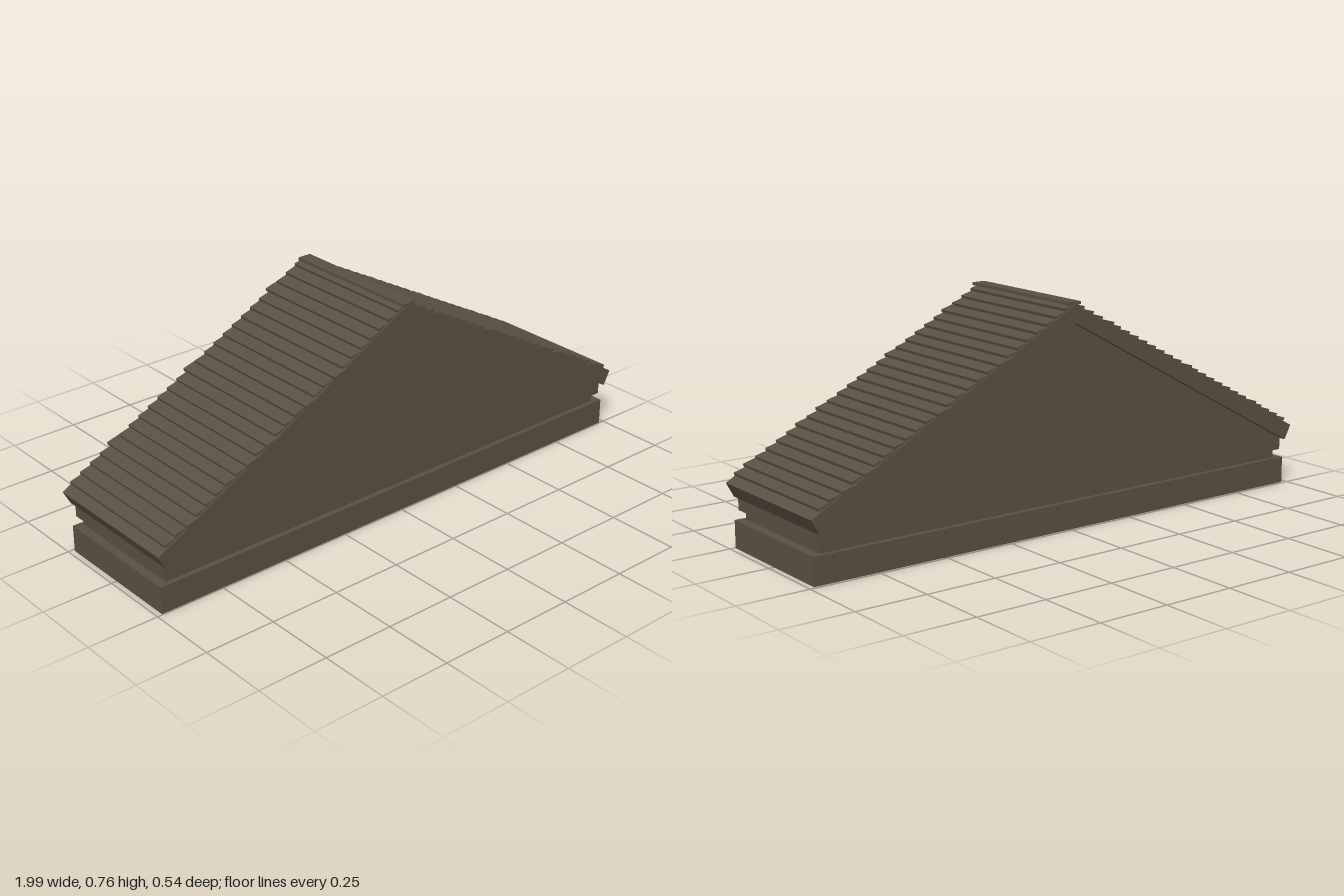
import * as THREE from 'three';

export function createModel() {
  const group = new THREE.Group();
  const stone = new THREE.MeshStandardMaterial({ color: 0x5a5042 });
  stone.name = 'weathered brown';

  const add = (name, geometry, parent = group) => {
    const mesh = new THREE.Mesh(geometry, stone);
    mesh.name = name;
    parent.add(mesh);
    return mesh;
  };
  const box = (name, w, y0, y1, z0, z1) =>
    add(name, new THREE.BoxGeometry(w, y1 - y0, z1 - z0))
      .position.set(0, (y0 + y1) / 2, (z0 + z1) / 2);
  const prism = (name, points, z0, z1) => {
    const shape = new THREE.Shape(points.map(p => new THREE.Vector2(...p)));
    const g = new THREE.ExtrudeGeometry(shape, { depth: z1 - z0, bevelEnabled: false });
    add(name, g.translate(0, 0, z0));
  };

  // Stepped base
  box('baseBeam', 1.962, 0, 0.094, -0.241, 0.247);
  box('recessedNeck', 1.90, 0.094, 0.125, -0.223, 0.229);

  // Triangular gable body
  prism('gable', [[-0.967, 0.125], [0.967, 0.125], [0.967, 0.167], [0, 0.70], [-0.967, 0.167]], -0.239, 0.245);

  // Overhanging roof slabs
  prism('roofSlabs', [[-0.97, 0.165], [0, 0.697], [0.97, 0.165], [0.997, 0.215], [0, 0.757], [-0.997, 0.215]], -0.261, 0.267);

  // Overlapping roof boards; a few stick out at the front or the back
  const frontOut = { '-1': [2, 8, 10, 14, 17], 1: [1, 6, 8, 15, 21] };
  const backOut = { '-1': [4, 12, 21], 1: [2, 4, 11, 17] };
  const count = 25, tilt = 0.27, length = 0.054, thick = 0.0105;
  for (const side of [-1, 1]) {
    const boards = new THREE.Group();
    boards.name = side > 0 ? 'leftRoofBoards' : 'rightRoofBoards';
    group.add(boards);
    for (let i = 0; i < count; i++) {
      const z0 = backOut[side].includes(i) ? -0.269 : -0.257;
      const z1 = frontOut[side].includes(i) ? 0.272 : 0.263;
      const g = new THREE.BoxGeometry(length, thick, z1 - z0);
      g.translate(-side * length / 2, thick / 2, (z0 + z1) / 2);
      const board = add('roofBoard', g, boards);
      board.rotation.z = -side * tilt;
      board.position.set(side * (0.967 - i * 0.0387), 0.235 + i * 0.0209, 0);
    }
  }

  // Ridge cap
  box('ridgeCap', 0.05, 0.755, 0.765, -0.256, 0.272);
  return group;
}
